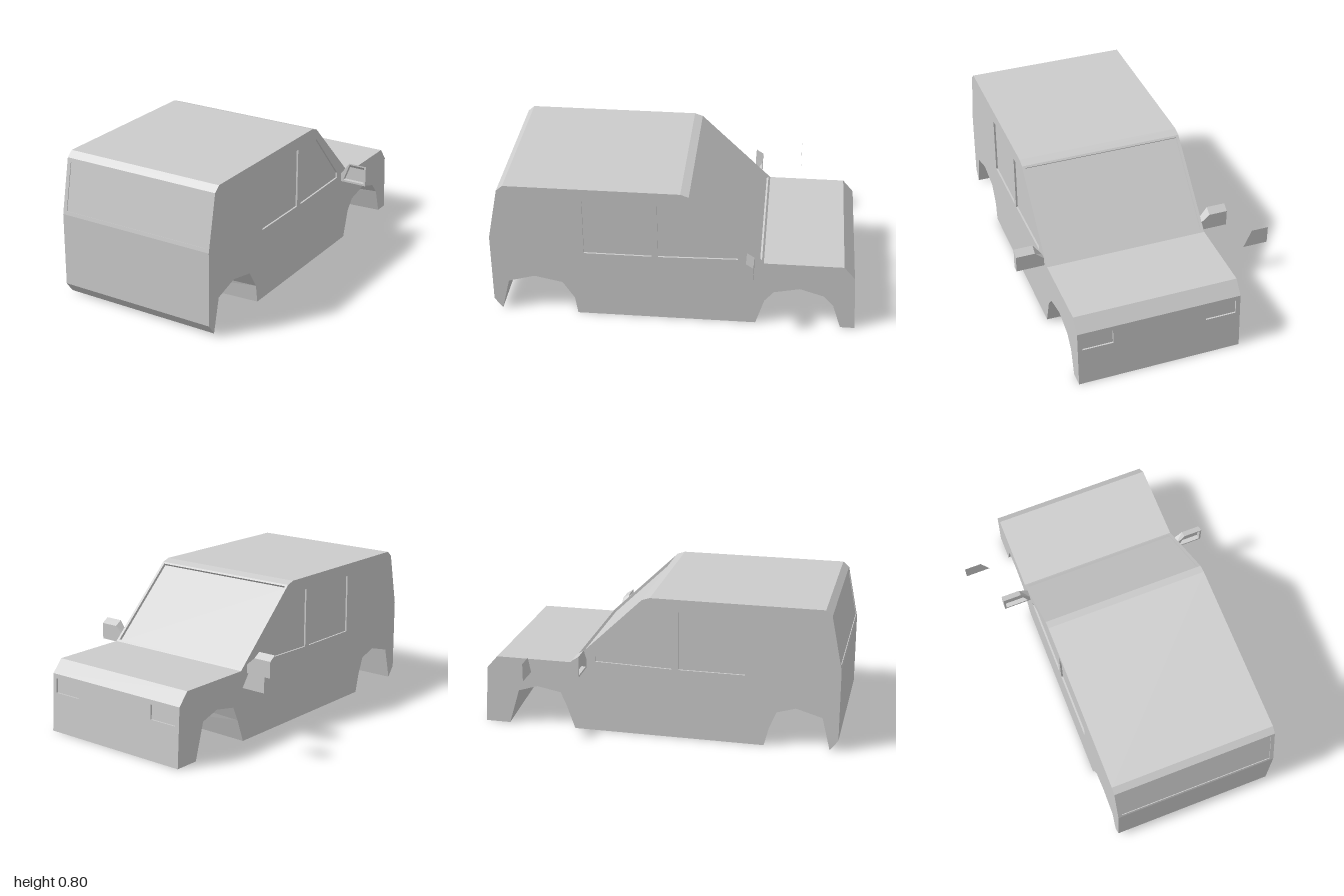
import * as THREE from 'three';

const CX = 0.07;   // centre line of the body
const HW = 0.455;  // half width of the body
const material = new THREE.MeshStandardMaterial({ color: 0xcccccc, flatShading: true, side: THREE.DoubleSide });
const V = (x, y, z) => new THREE.Vector3(x, y, z);

function addMesh(parent, name, geometry) {
  const mesh = new THREE.Mesh(geometry, material);
  mesh.name = name;
  parent.add(mesh);
  return mesh;
}

// Strip of quads between two closed loops of points, with chosen segments left out
function band(a, b, skip = []) {
  const pts = [];
  a.forEach((p, i) => {
    if (skip.includes(i)) return;
    const j = (i + 1) % a.length;
    pts.push(p, b[i], b[j], p, b[j], a[j]);
  });
  const g = new THREE.BufferGeometry().setFromPoints(pts);
  g.computeVertexNormals();
  return g;
}

// Flat panel in a (u, v) plane with sunken panes; pane = { pts, floor }
function panel(parent, name, origin, u, v, outline, panes, depth) {
  const group = new THREE.Group();
  group.name = name;
  const n = u.clone().cross(v).normalize();
  group.applyMatrix4(new THREE.Matrix4().makeBasis(u, v, n).setPosition(origin));
  const toShape = (pts) => new THREE.Shape(pts.map(([x, y]) => new THREE.Vector2(x, y)));
  const face = toShape(outline);
  for (const { pts, floor = pts } of panes) {
    face.holes.push(toShape(pts));
    addMesh(group, 'pane', new THREE.ShapeGeometry(toShape(floor)).translate(0, 0, -depth));
    addMesh(group, 'paneRim', band(pts.map(([x, y]) => V(x, y, 0)), floor.map(([x, y]) => V(x, y, -depth))));
  }
  addMesh(group, 'frame', new THREE.ShapeGeometry(face));
  parent.add(group);
}

const rect = (x0, y0, x1, y1) => [[x0, y0], [x1, y0], [x1, y1], [x0, y1]];

// Side outline as [z, y]; the wheel arches narrow towards the right side
const REAR = [[0.905, 0.8], [0.94, 0.77], [1, 0.47], [1, 0.065], [0.955, 0.005], [0.91, 0.19], [0.765, 0.232]];
const FRONT = [[-1, 0], [-0.98, 0.325], [-0.92, 0.395], [-0.49, 0.395], [-0.085, 0.785], [-0.04, 0.8]];
const ARCH_LEFT = [[0.61, 0.2], [0.545, 0.1], [0.53, 0], [-0.455, 0], [-0.5, 0.15], [-0.55, 0.21],
  [-0.69, 0.24], [-0.82, 0.2], [-0.875, 0.14], [-0.92, 0]];
const ARCH_RIGHT = [[0.66, 0.2], [0.62, 0.1], [0.595, 0], [-0.475, 0], [-0.52, 0.13], [-0.555, 0.21],
  [-0.69, 0.235], [-0.8, 0.2], [-0.83, 0.1], [-0.86, 0]];
const WINDOWS = [
  [[0.085, 0.73], [-0.09, 0.725], [-0.35, 0.44], [-0.35, 0.41], [0.08, 0.4]],
  [[0.485, 0.73], [0.115, 0.73], [0.115, 0.4], [0.485, 0.4]],
];

export function createModel() {
  const model = new THREE.Group();
  model.name = 'van';
  const left = [...REAR, ...ARCH_LEFT, ...FRONT];
  const right = [...REAR, ...ARCH_RIGHT, ...FRONT];

  // Roof, bonnet, floor and wheel arches; rear window, nose and windscreen are left open
  addMesh(model, 'bodyShell', band(
    left.map(([z, y]) => V(CX + HW, y, z)),
    right.map(([z, y]) => V(CX - HW, y, z)), [1, 17, 20]));

  // Side walls with two windows each
  for (const s of [1, -1]) {
    const flip = (pts) => pts.map(([z, y]) => [-s * z, y]);
    panel(model, s > 0 ? 'leftSide' : 'rightSide', V(CX + s * HW, 0, 0), V(0, 0, -s), V(0, 1, 0),
      flip(s > 0 ? left : right), WINDOWS.map((w) => ({ pts: flip(w) })), 0.01);
  }

  // Sloping end panels, each set between two points [z, y] of the side outline
  const endPanel = (name, low, high, uSign, makePanes, depth) => {
    const v = V(0, high[1] - low[1], high[0] - low[0]);
    const h = v.length();
    panel(model, name, V(CX, low[1], low[0]), V(uSign, 0, 0), v.normalize(),
      rect(-HW, 0, HW, h), makePanes(h).map((pts) => ({ pts })), depth);
  };
  endPanel('windscreen', FRONT[3], FRONT[4], -1, (h) => [rect(-0.44, 0.015, 0.44, h - 0.012)], 0.015);
  endPanel('rearDoor', REAR[2], REAR[1], 1, (h) => [rect(-0.433, 0.02, 0.433, h - 0.02)], 0.004);
  endPanel('nose', FRONT[0], FRONT[1], -1,
    () => [rect(-0.43, 0.22, -0.26, 0.3), rect(0.26, 0.22, 0.43, 0.3)], 0.01);

  // Door mirrors: tapered housings with a sunken glass facing the rear
  for (const s of [1, -1]) {
    const mirror = new THREE.Group();
    mirror.name = s > 0 ? 'leftMirror' : 'rightMirror';
    const place = (pts) => pts.map(([d, y]) => [CX + s * (HW + d), y]);
    const outline = place([[0, 0.372], [0, 0.42], [0.05, 0.49], [0.155, 0.49], [0.155, 0.372]]);
    const pts = place([[0.015, 0.383], [0.052, 0.482], [0.145, 0.482], [0.145, 0.383]]);
    const floor = place([[0.015, 0.383], [0.044, 0.46], [0.145, 0.46], [0.145, 0.383]]);
    panel(mirror, 'mirrorFace', V(0, 0, -0.4), V(1, 0, 0), V(0, 1, 0), outline, [{ pts, floor }], 0.025);
    const back = outline.map(([x, y]) => [x, Math.min(y, 0.464)]);
    addMesh(mirror, 'mirrorHousing', band(
      outline.map(([x, y]) => V(x, y, -0.4)), back.map(([x, y]) => V(x, y, -0.44))));
    panel(mirror, 'mirrorBack', V(0, 0, -0.44), V(1, 0, 0), V(0, 1, 0), back, [], 0);
    model.add(mirror);
  }

  // Loose flat glass beside the bonnet
  panel(model, 'looseMirrorGlass', V(0, 0, -0.67), V(1, 0, 0), V(0, 1, 0),
    [[-0.68, 0.38], [-0.54, 0.38], [-0.585, 0.48], [-0.68, 0.48]], [], 0);

  return model;
}
